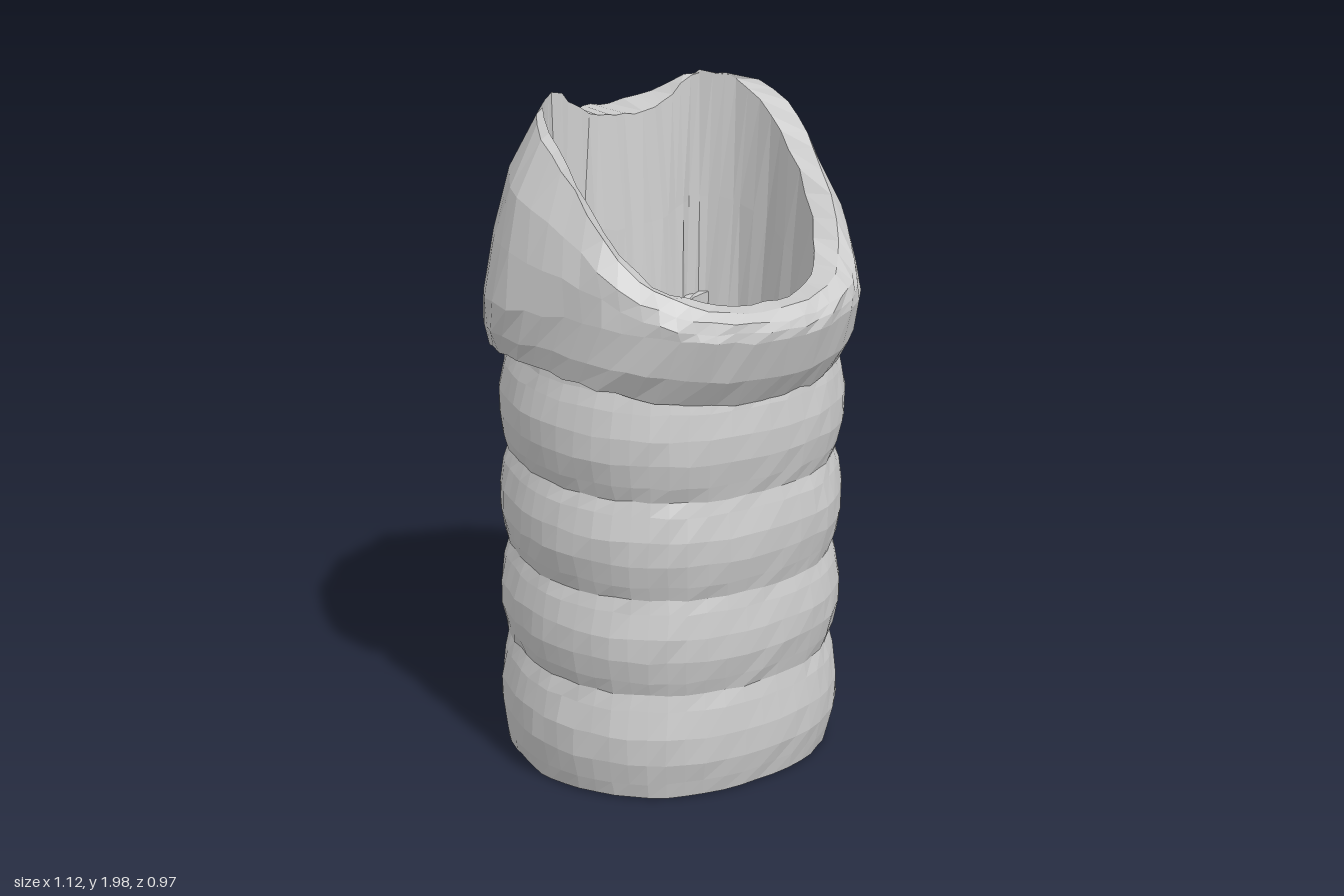
import * as THREE from 'three';

// Small repeatable irregularity for the organic surface
let seed = 7;
const jitter = (a) => {
  seed = (seed * 16807) % 2147483647;
  return (seed / 2147483647 - 0.5) * 2 * a;
};

// Half outline from front (z+) to back, mirrored into a smooth closed loop
function loop(half) {
  const pts = half.map((p) => new THREE.Vector3(...p));
  for (let i = half.length - 2; i > 0; i--) pts.push(new THREE.Vector3(-half[i][0], half[i][1], half[i][2]));
  return new THREE.CatmullRomCurve3(pts, true).getPoints(pts.length * 4).slice(0, -1);
}

// Loop between two others, with separate amounts across (x, z) and in height
const between = (a, b, across, height, spread = 1) => a.map((p, i) => new THREE.Vector3(
  THREE.MathUtils.lerp(p.x, b[i].x, across) * spread,
  THREE.MathUtils.lerp(p.y, b[i].y, height),
  THREE.MathUtils.lerp(p.z, b[i].z, across) * spread));

// Skin a closed sequence of loops: up the outside, down the inside
function skin(rows, amount) {
  const n = rows[0].length;
  const position = [];
  const index = [];
  rows.forEach((row) => row.forEach((p) => position.push(
    p.x + jitter(amount), Math.max(0, p.y + jitter(amount)), p.z + jitter(amount))));
  for (let r = 0; r < rows.length; r++) {
    const s = (r + 1) % rows.length;
    for (let i = 0; i < n; i++) {
      const j = (i + 1) % n;
      index.push(r * n + i, r * n + j, s * n + j, r * n + i, s * n + j, s * n + i);
    }
  }
  const g = new THREE.BufferGeometry();
  g.setAttribute('position', new THREE.Float32BufferAttribute(position, 3));
  g.setIndex(index);
  g.computeVertexNormals();
  return g;
}

export function createModel() {
  const group = new THREE.Group();
  const material = new THREE.MeshStandardMaterial({ color: 0xcccccc, flatShading: true });
  const add = (name, geometry) => {
    const mesh = new THREE.Mesh(geometry, material);
    mesh.name = name;
    group.add(mesh);
    return mesh;
  };

  // Windpipe: four bulging rings with a membrane pushed in at the back, leaning slightly forward
  const outer = [[0, 0.39], [0.25, 0.345], [0.42, 0.21], [0.505, 0], [0.485, -0.2], [0.405, -0.345], [0.2, -0.275], [0, -0.25]];
  const inner = [[0, 0.335], [0.21, 0.295], [0.37, 0.17], [0.44, -0.01], [0.42, -0.19], [0.32, -0.275], [0.17, -0.23], [0, -0.21]];
  const level = (outline, y, scale) => loop(outline.map(([x, z], i) => {
    const s = i < 5 ? scale : i === 5 ? (1 + scale) / 2 : 1;
    return [x * s, y < 0.1 ? y : y - 0.05 * z, z * s + 0.02 * (y - 0.7)];
  }));
  const grooves = [0.015, 0.355, 0.65, 0.945, 1.25];
  const rows = [];
  for (let k = 0; k < 4; k++) {
    for (const t of [0, 0.15, 0.38, 0.62, 0.86]) {
      rows.push(level(outer, THREE.MathUtils.lerp(grooves[k], grooves[k + 1], t),
        0.945 + 0.065 * Math.sin(Math.PI * t)));
    }
  }
  rows.push(level(outer, 1.255, 0.945), level(outer, 1.3, 0.93));
  for (let y = 1.3; y > 0; y -= 0.213) rows.push(level(inner, y, 1));
  add('windpipe', skin(rows, 0.003));

  // Collar cartilage: low band in front, tall plate behind, sloping open rim
  const base = loop([[0, 1.2, 0.385], [0.22, 1.21, 0.35], [0.41, 1.25, 0.22], [0.49, 1.28, 0.02],
    [0.51, 1.29, -0.2], [0.43, 1.28, -0.345], [0.2, 1.26, -0.34], [0, 1.26, -0.33]]);
  const widest = loop([[0, 1.4, 0.478], [0.22, 1.41, 0.44], [0.38, 1.43, 0.32], [0.49, 1.45, 0.1],
    [0.56, 1.45, -0.15], [0.43, 1.47, -0.355], [0.18, 1.5, -0.41], [0, 1.5, -0.45]]);
  const rim = loop([[0, 1.475, 0.435], [0.21, 1.495, 0.39], [0.35, 1.57, 0.26], [0.425, 1.79, 0.06],
    [0.415, 1.94, -0.12], [0.26, 1.985, -0.27], [0.11, 1.91, -0.39], [0, 1.885, -0.465]]);
  const bore = loop(inner.map(([x, z]) => [x * 0.8, 1.24, z]));
  add('collar', skin([
    base,
    between(base, widest, 0.5, 0.4, 1.02),
    widest,
    between(widest, rim, 0.3, 0.33, 1.03),
    between(widest, rim, 0.6, 0.66, 1.045),
    rim,
    between(rim, bore, 0.7, 0),
    between(rim, bore, 0.85, 0.5),
    bore,
  ], 0.006));

  // Two rounded growths on the inside of the front wall
  const growth = (name, at, size) => {
    const mesh = add(name, new THREE.SphereGeometry(1, 32, 24));
    mesh.position.set(...at);
    mesh.scale.set(...size);
    mesh.rotation.y = 0.7;
  };
  growth('largeGrowth', [-0.05, 0.82, 0.14], [0.25, 0.24, 0.22]);
  growth('smallGrowth', [0.1, 1.04, 0.25], [0.165, 0.15, 0.12]);

  return group;
}
